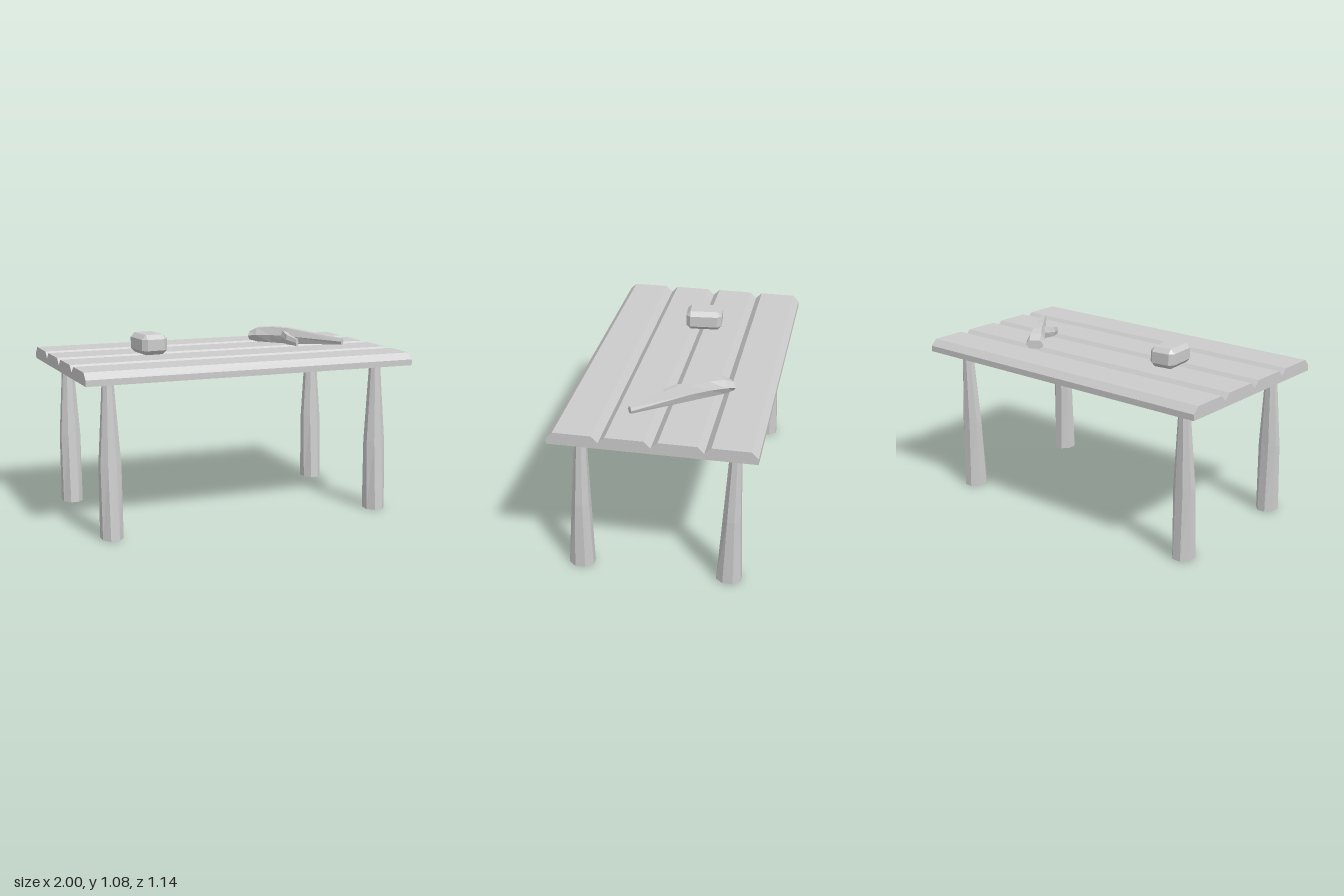
import * as THREE from 'three';
import { ConvexGeometry } from 'three/addons/geometries/ConvexGeometry.js';

const material = new THREE.MeshStandardMaterial({ color: 0xcccccc, flatShading: true });

function part(name, geometry) {
  const mesh = new THREE.Mesh(geometry, material);
  mesh.name = name;
  return mesh;
}

// Skin a list of equal-length rings (counter-clockwise about the direction of travel), capped at both ends.
function loft(rings) {
  const n = rings[0].length, index = [];
  rings.slice(1).forEach((_, r) => {
    for (let i = 0; i < n; i++) {
      const a = r * n + i, b = r * n + (i + 1) % n;
      index.push(a, b, b + n, a, b + n, a + n);
    }
  });
  const last = (rings.length - 1) * n;
  for (let i = 1; i < n - 1; i++) {
    index.push(0, i + 1, i, last, last + i, last + i + 1);
  }
  const geometry = new THREE.BufferGeometry();
  geometry.setAttribute('position', new THREE.Float32BufferAttribute(rings.flat(2), 3));
  geometry.setIndex(index);
  const flat = geometry.toNonIndexed();
  flat.computeVertexNormals();
  return flat;
}

// Planked slab: profile with chamfered edges and three V grooves, run along x.
function tableTop() {
  const low = 0.885, mid = 0.92, high = 0.957, bevel = 0.037;
  const shape = new THREE.Shape();
  shape.moveTo(-0.57, low);
  shape.lineTo(0.57, low);
  shape.lineTo(0.57, mid);
  shape.lineTo(0.57 - bevel, high);
  for (const z of [0.285, 0, -0.285]) {
    shape.lineTo(z + bevel, high);
    shape.lineTo(z, mid);
    shape.lineTo(z - bevel, high);
  }
  shape.lineTo(-0.57 + bevel, high);
  shape.lineTo(-0.57, mid);
  const geometry = new THREE.ExtrudeGeometry(shape, { depth: 2, bevelEnabled: false });
  return geometry.translate(0, 0, -1).rotateY(Math.PI / 2);
}

// Eight-sided leg; each level is [y, z offset, half width x, half width z].
function leg() {
  const levels = [[0, 0.025, 0.06, 0.071], [0.42, 0.014, 0.06, 0.05], [0.89, 0, 0.03, 0.03]];
  const scale = 1 / Math.cos(Math.PI / 8);
  return loft(levels.map(([y, dz, rx, rz]) =>
    Array.from({ length: 8 }, (_, i) => {
      const a = (i + 0.5) * Math.PI / 4;
      return [Math.sin(a) * rx * scale, y, dz + Math.cos(a) * rz * scale];
    })));
}

// Box with every edge cut off.
function stone() {
  const [x, y, z] = [0.08, 0.059, 0.11], c = 0.026, points = [];
  for (const sx of [-1, 1]) for (const sy of [-1, 1]) for (const sz of [-1, 1]) {
    points.push(
      new THREE.Vector3(sx * x, sy * (y - c), sz * (z - c)),
      new THREE.Vector3(sx * (x - c), sy * y, sz * (z - c)),
      new THREE.Vector3(sx * (x - c), sy * (y - c), sz * z));
  }
  return new ConvexGeometry(points);
}

// Six-sided branch; each station is [x, z, half width, bottom y, top y], sections face (dx, dz).
function branch(stations, dx, dz) {
  const section = [[-0.6, 0], [0.6, 0], [1, 0.5], [0.6, 1], [-0.6, 1], [-1, 0.5]];
  return loft(stations.map(([x, z, w, low, high]) =>
    section.map(([s, t]) => [x + s * w * dz, low + t * (high - low), z - s * w * dx])));
}

export function createModel() {
  const model = new THREE.Group();
  model.name = 'plankTable';
  model.add(part('tableTop', tableTop()));

  const legGeometry = leg();
  for (const [side, x] of [['Left', 0.828], ['Right', -0.838]]) {
    for (const [end, z] of [['front', 0.43], ['back', -0.43]]) {
      const mesh = part(end + side + 'Leg', legGeometry);
      mesh.position.set(x, 0, z);
      model.add(mesh);
    }
  }

  const rock = part('stone', stone());
  rock.position.set(-0.443, 1.016, -0.034);
  rock.rotation.y = 0.09;
  model.add(rock);

  // Stick lying diagonally, with a short side twig
  const stick = new THREE.Group();
  stick.name = 'stick';
  stick.add(part('stickShaft', branch([
    [0.353, -0.325, 0.052, 0.966, 1.018],
    [0.385, -0.28, 0.054, 0.958, 1.046],
    [0.445, -0.2, 0.042, 0.957, 1.055],
    [0.515, -0.105, 0.036, 0.957, 1.054],
    [0.745, 0.17, 0.019, 0.972, 1.01]
  ], 0.615, 0.79)));
  stick.add(part('stickTwig', branch([
    [0.49, -0.13, 0.03, 0.965, 1.04],
    [0.475, -0.035, 0.018, 0.962, 1.02],
    [0.503, 0.033, 0.01, 0.958, 1.0]
  ], 0.15, 0.99)));
  model.add(stick);

  return model;
}
